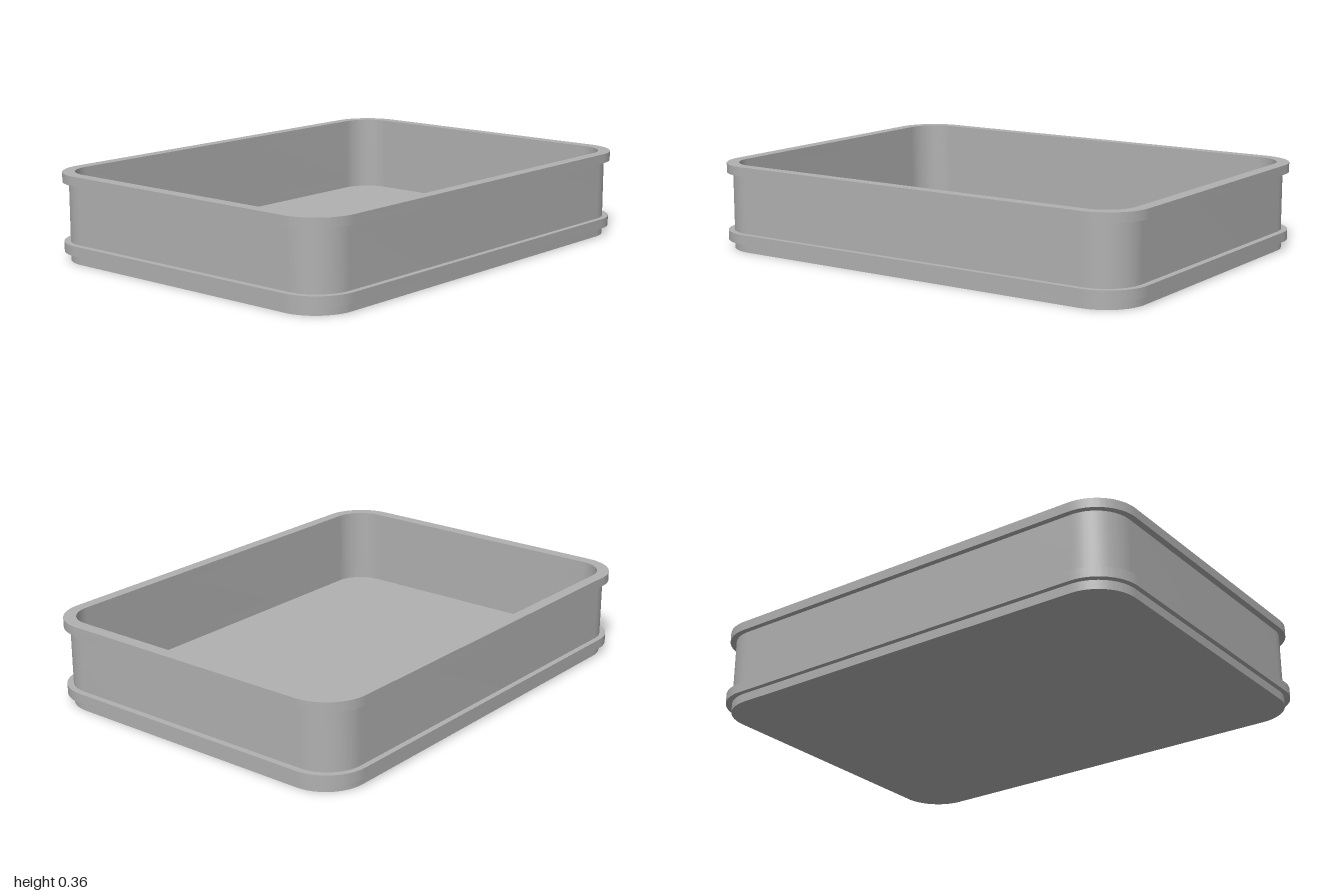
import * as THREE from 'three';
import { toCreasedNormals } from 'three/addons/utils/BufferGeometryUtils.js';

// Rounded rectangle outline from half sizes and corner radius
function outline(target, hx, hz, r) {
  target.moveTo(-hx + r, -hz);
  target.lineTo(hx - r, -hz);
  target.absarc(hx - r, -hz + r, r, -Math.PI / 2, 0);
  target.lineTo(hx, hz - r);
  target.absarc(hx - r, hz - r, r, 0, Math.PI / 2);
  target.lineTo(-hx + r, hz);
  target.absarc(-hx + r, hz - r, r, Math.PI / 2, Math.PI);
  target.lineTo(-hx, -hz + r);
  target.absarc(-hx + r, -hz + r, r, Math.PI, Math.PI * 1.5);
  return target;
}

export function createModel() {
  const group = new THREE.Group();
  group.name = 'tray';
  const grey = new THREE.MeshStandardMaterial({ color: 0xb0b0b0 });
  grey.name = 'plain grey';

  // Upright slab between two heights, optionally with the tray opening cut out
  function layer(name, hx, hz, r, y0, y1, open) {
    const shape = outline(new THREE.Shape(), hx, hz, r);
    if (open) shape.holes.push(outline(new THREE.Path(), 0.947, 0.697, 0.13));
    const extruded = new THREE.ExtrudeGeometry(shape, {
      depth: y1 - y0, bevelEnabled: false, curveSegments: 16,
    });
    extruded.rotateX(-Math.PI / 2).translate(0, y0, 0);
    const mesh = new THREE.Mesh(toCreasedNormals(extruded, 0.6), grey);
    mesh.name = name;
    group.add(mesh);
  }

  layer('base', 0.98, 0.724, 0.17, 0, 0.037, false);
  layer('lowerRim', 1, 0.746, 0.18, 0.037, 0.078, true);
  layer('wall', 0.973, 0.722, 0.155, 0.078, 0.323, true);
  layer('upperRim', 1, 0.746, 0.18, 0.323, 0.362, true);

  return group;
}
